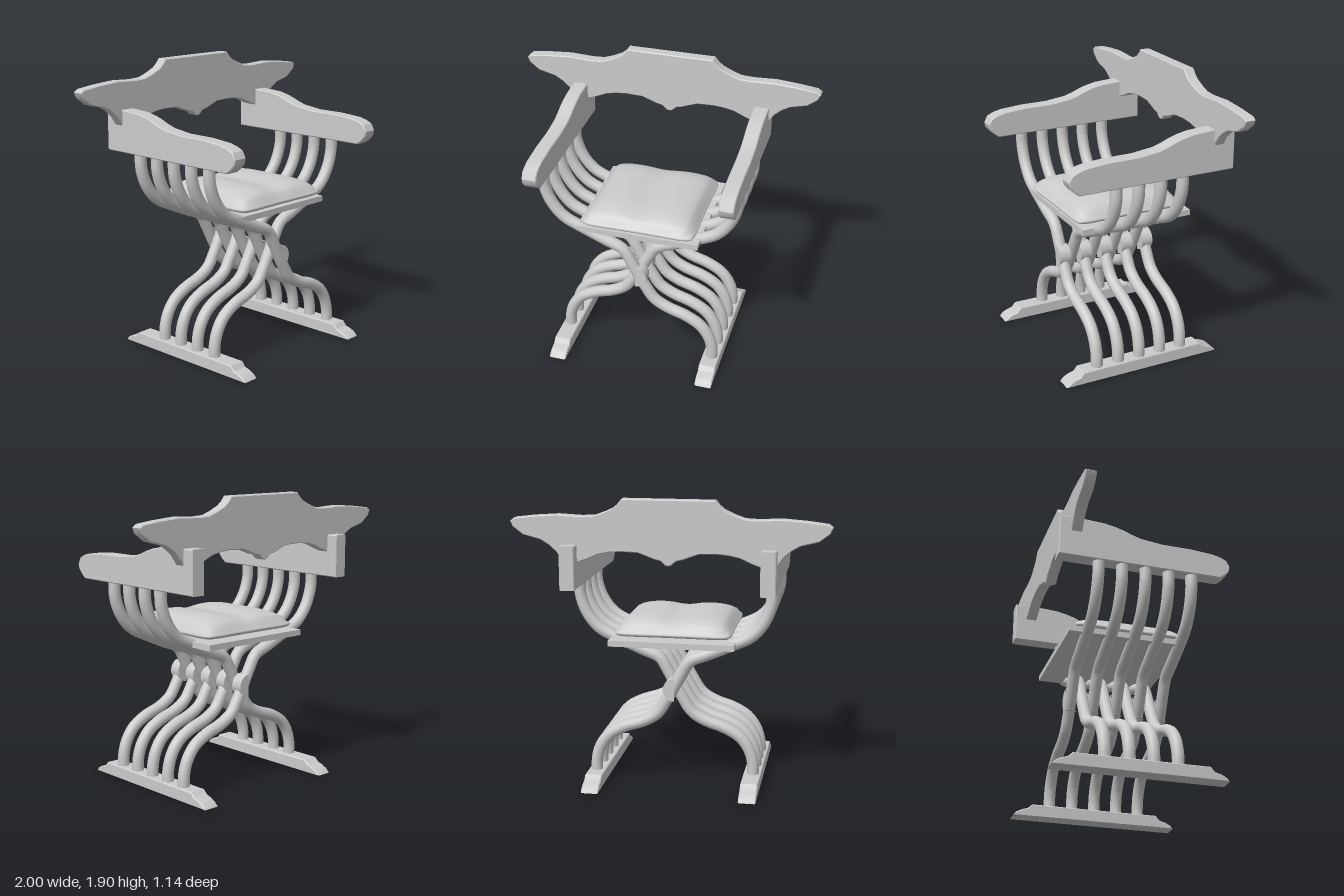
import * as THREE from 'three';
import { mergeVertices, toCreasedNormals } from 'three/addons/utils/BufferGeometryUtils.js';

const material = new THREE.MeshStandardMaterial({ color: 0xcccccc });

function part(name, geometry, x = 0, y = 0, z = 0) {
  const mesh = new THREE.Mesh(geometry, material);
  mesh.name = name;
  mesh.position.set(x, y, z);
  return mesh;
}

// Board cut from an outline, centred on its thickness, with softened edges
function board(points, thickness) {
  const bevel = 0.006;
  const shape = new THREE.Shape(points.map(([x, y]) => new THREE.Vector2(x, y)));
  const geometry = new THREE.ExtrudeGeometry(shape, {
    depth: thickness - 2 * bevel, bevelThickness: bevel, bevelSize: bevel, bevelOffset: -bevel, bevelSegments: 1,
  });
  geometry.translate(0, 0, bevel - thickness / 2);
  return toCreasedNormals(geometry, 0.6);
}

// Same, but the outline is given as (z, y) and the thickness runs along x
const sideBoard = (points, thickness) => board(points, thickness).rotateY(-Math.PI / 2);

// Mirror half an outline, from top centre to bottom centre, across x = 0
const mirrored = (half) => [...half, ...half.filter(([x]) => x > 0).reverse().map(([x, y]) => [-x, y])];

// S-curved slat; side is the direction its upper end leans to
const slatPath = [
  [0.63, 1.37], [0.625, 1.24], [0.58, 1.12], [0.5, 1.025], [0.38, 0.965], [0.22, 0.895], [0.105, 0.845],
  [0.05, 0.76], [0, 0.665], [-0.05, 0.575], [-0.11, 0.485], [-0.2, 0.43], [-0.33, 0.385], [-0.43, 0.325],
  [-0.49, 0.24], [-0.515, 0.15], [-0.517, 0.05],
];
function slatGeometry(side) {
  const curve = new THREE.CatmullRomCurve3(slatPath.map(([x, y]) => new THREE.Vector3(x * side, y, 0)));
  return new THREE.TubeGeometry(curve, 56, 0.039, 12);
}

// Soft cushion: a subdivided block with rounded corners, domed top and a shallow central groove
function cushionGeometry() {
  const geometry = new THREE.BoxGeometry(2, 2, 2, 28, 6, 28);
  geometry.deleteAttribute('normal');
  geometry.deleteAttribute('uv');
  const p = geometry.attributes.position;
  for (let i = 0; i < p.count; i++) {
    const x = p.getX(i), t = p.getY(i), z = p.getZ(i);
    const dome = Math.sqrt((1 - x ** 4) * (1 - z ** 4));
    const top = 1.045 + 0.088 * dome - 0.022 * dome * Math.exp(-x * x * 14);
    const bottom = 1.012 - 0.006 * dome;
    const bulge = 1 - 0.035 * t * t;
    p.setXYZ(i,
      x * 0.385 * bulge * Math.sqrt(1 - 0.12 * z ** 8) * (1 - 0.03 * (1 - z * z)),
      bottom + (top - bottom) * (t + 1) / 2,
      z * 0.385 * bulge * Math.sqrt(1 - 0.12 * x ** 8) * (1 - 0.03 * (1 - x * x)));
  }
  const merged = mergeVertices(geometry);
  merged.computeVertexNormals();
  return merged;
}

export function createModel() {
  const chair = new THREE.Group();
  chair.name = 'foldingArmchair';

  // Interleaved slats: five lean to the right, four to the left
  const slats = new THREE.Group();
  slats.name = 'slats';
  const geometries = { '-1': slatGeometry(-1), '1': slatGeometry(1) };
  const knuckle = new THREE.CylinderGeometry(0.075, 0.075, 0.077, 16, 1, false, 0, Math.PI).rotateX(Math.PI / 2);
  for (let i = 0; i < 9; i++) {
    const side = i % 2 ? 1 : -1;
    const z = 0.006 + (i - 4) * 0.0772;
    slats.add(part(side > 0 ? 'leftSlat' : 'rightSlat', geometries[side], 0, 0, z));
    // Half-round pivot swelling at the crossing
    if (side < 0) slats.add(part('pivotKnuckle', knuckle, -0.01, 0.657, z));
  }
  chair.add(slats);

  // Foot rails and armrests on both sides
  const footGeometry = sideBoard([
    [-0.557, 0], [0.55, 0], [0.53, 0.024], [0.495, 0.042], [0.455, 0.052], [0.43, 0.083],
    [-0.43, 0.083], [-0.46, 0.056], [-0.5, 0.044], [-0.535, 0.026],
  ], 0.113);
  const armGeometry = sideBoard([
    [-0.57, 1.337], [0.5, 1.337], [0.535, 1.363], [0.563, 1.395], [0.57, 1.43], [0.548, 1.472], [0.505, 1.492],
    [0.45, 1.505], [0.3, 1.517], [0.11, 1.518], [-0.03, 1.535], [-0.09, 1.553], [-0.145, 1.575], [-0.2, 1.592],
    [-0.27, 1.606], [-0.42, 1.615], [-0.57, 1.615],
  ], 0.097);
  for (const side of [1, -1]) {
    const label = side > 0 ? 'left' : 'right';
    chair.add(part(label + 'Foot', footGeometry, side * 0.512, 0, 0));
    chair.add(part(label + 'Armrest', armGeometry, side * 0.624, 0, 0));
  }

  // Carved back board slotted through the armrests
  chair.add(part('backrest', board(mirrored([
    [0.29, 1.905], [0.315, 1.873], [0.345, 1.848], [0.41, 1.818], [0.47, 1.797], [0.55, 1.793], [0.7, 1.8],
    [0.85, 1.789], [0.975, 1.774], [1, 1.755], [0.985, 1.72], [0.92, 1.67], [0.81, 1.642], [0.755, 1.61],
    [0.71, 1.57], [0.67, 1.51], [0.62, 1.488], [0.52, 1.522], [0.44, 1.558], [0.37, 1.572], [0.3, 1.578],
    [0.19, 1.574], [0.14, 1.556], [0.09, 1.537], [0.05, 1.528], [0.02, 1.5], [0, 1.495],
  ]), 0.073), 0, 0, -0.457));

  // Seat board and cushion
  chair.add(part('seatBoard', new THREE.BoxGeometry(0.81, 0.038, 0.775), 0, 0.973, -0.037));
  chair.add(part('cushion', cushionGeometry(), 0, 0, -0.007));

  return chair;
}
